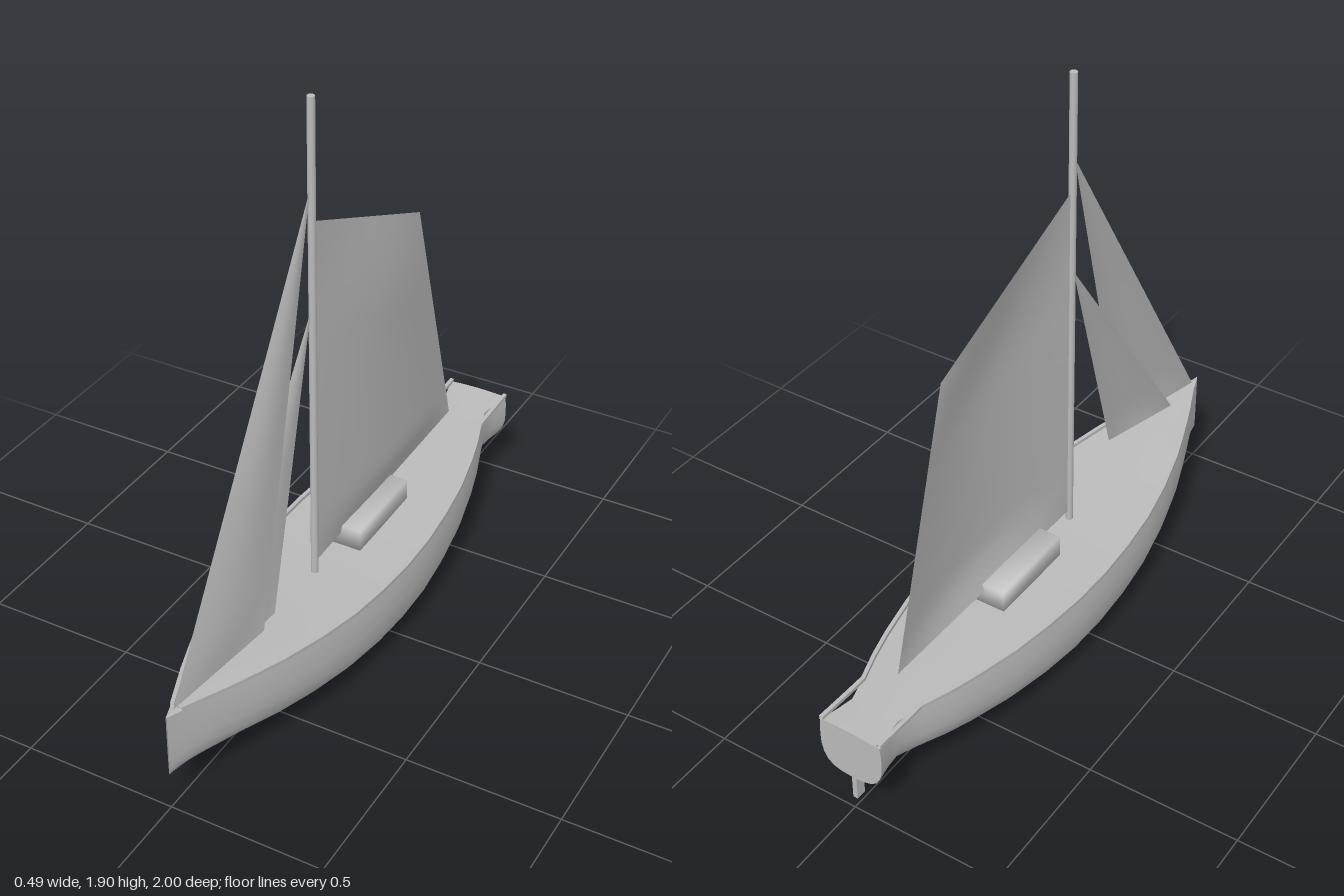
import * as THREE from 'three';
import { mergeVertices } from 'three/addons/utils/BufferGeometryUtils.js';

const grey = new THREE.MeshStandardMaterial({ color: 0xbababa, side: THREE.DoubleSide });
grey.name = 'plain grey';

// Hull stations, bow to stern: z, half width, keel height, sheer height
const STATIONS = [
  [1, 0.002, 0.13, 0.355], [0.95, 0.02, 0.125, 0.351], [0.88, 0.05, 0.118, 0.346],
  [0.8, 0.084, 0.106, 0.34], [0.7, 0.122, 0.088, 0.333], [0.6, 0.157, 0.07, 0.326],
  [0.45, 0.197, 0.046, 0.315], [0.3, 0.225, 0.024, 0.305], [0.15, 0.24, 0.01, 0.298],
  [0, 0.246, 0.004, 0.293], [-0.15, 0.243, 0.004, 0.293], [-0.3, 0.23, 0.016, 0.296],
  [-0.45, 0.209, 0.036, 0.3], [-0.6, 0.175, 0.062, 0.305], [-0.7, 0.147, 0.083, 0.308],
  [-0.8, 0.112, 0.107, 0.311], [-0.88, 0.086, 0.123, 0.314], [-0.94, 0.096, 0.128, 0.317],
  [-1, 0.11, 0.13, 0.32],
];
const RAIL = 0.012;

// Half cross-section from sheer to keel: fraction of half width, fraction of height
const SECTION = [[0.96, 1], [0.99, 0.85], [1, 0.65], [0.985, 0.45], [0.92, 0.28],
  [0.8, 0.15], [0.62, 0.06], [0.36, 0.015], [0, 0]];
const RING = [...SECTION.map(([x, y]) => [-x, y]),
  ...SECTION.slice(0, -1).reverse()];

// Surface through rows of points
function grid(rows, cols, point) {
  const pos = [], index = [];
  for (let i = 0; i < rows; i++) {
    for (let j = 0; j < cols; j++) {
      pos.push(...point(i, j));
      if (i < rows - 1 && j < cols - 1) {
        const a = i * cols + j, c = a + cols;
        index.push(a, c, a + 1, a + 1, c, c + 1);
      }
    }
  }
  const g = new THREE.BufferGeometry();
  g.setAttribute('position', new THREE.Float32BufferAttribute(pos, 3));
  g.setIndex(index);
  g.computeVertexNormals();
  return g;
}

// Four-cornered sail with a belly towards +x; corners are tack, clew, peak, throat
function sailGeometry([tack, clew, peak, throat], belly, foot, head) {
  const [a, b, c, d] = [tack, clew, peak, throat].map((p) => new THREE.Vector3(...p));
  const n = 24;
  return grid(n + 1, n + 1, (i, j) => {
    const v = i / n, u = j / n;
    const p = a.clone().lerp(b, u).lerp(d.clone().lerp(c, u), v);
    const rise = Math.min(1, v / foot, (1 - v) / head);
    p.x += belly * Math.sin(Math.PI * u) * Math.sin(rise * Math.PI / 2);
    return p.toArray();
  });
}

export function createModel() {
  const model = new THREE.Group();
  model.name = 'sailingBoat';
  const add = (name, geometry, x = 0, y = 0, z = 0) => {
    const mesh = new THREE.Mesh(geometry, grey);
    mesh.name = name;
    mesh.position.set(x, y, z);
    model.add(mesh);
    return mesh;
  };

  // Hull shell, transom and deck
  const hullPoint = (i, j) => {
    const [z, w, keel, sheer] = STATIONS[i];
    const [x, y] = RING[j];
    return [x * w, keel + y * (sheer - RAIL - keel), z];
  };
  const last = STATIONS.length - 1;
  add('hull', grid(STATIONS.length, RING.length, hullPoint));
  add('transom', grid(2, RING.length, (i, j) => {
    const [x, y, z] = hullPoint(last, j);
    return [i ? 0 : x, y, z];
  }));
  add('deck', grid(STATIONS.length, 7, (i, j) => {
    const [z, w, , sheer] = STATIONS[i];
    const t = 1 - j / 3;
    return [t * w * 0.96, sheer - RAIL + 0.004 * (1 - t * t), z];
  }));

  // Rails run straight past the pinched stern
  const railStations = STATIONS.slice(1);
  for (const side of [1, -1]) {
    const rail = grid(railStations.length, 5, (i, j) => {
      const [z, w, , sheer] = railStations[i];
      const outer = (z < -0.75 ? 0.112 : w) * 0.98;
      const inner = Math.max(0, outer - 0.013);
      const ring = [[outer, -RAIL], [outer, 0], [inner, 0], [inner, -RAIL], [outer, -RAIL]];
      return [side * ring[j][0], sheer + ring[j][1], z];
    }).toNonIndexed();
    rail.computeVertexNormals();
    add(side > 0 ? 'leftRail' : 'rightRail', rail);
  }

  // Cabin with softly shaded corners
  let cabin = new THREE.BoxGeometry(0.14, 0.08, 0.32);
  cabin.deleteAttribute('normal');
  cabin.deleteAttribute('uv');
  cabin = mergeVertices(cabin);
  cabin.computeVertexNormals();
  add('cabin', cabin, 0, 0.32, -0.16);

  add('rudder', new THREE.BoxGeometry(0.016, 0.11, 0.035), 0, 0.095, -0.978);
  add('mast', new THREE.CylinderGeometry(0.012, 0.012, 1.61, 12), 0, 1.095, 0.165);

  // Sails
  add('mainSail', sailGeometry(
    [[0, 0.325, 0.155], [0, 0.35, -0.765], [0, 1.24, -0.505], [0, 1.515, 0.155]], 0.034, 0.14, 0.33));
  add('outerJib', sailGeometry(
    [[0, 0.345, 0.965], [0.064, 0.375, 0.575], [0, 1.62, 0.175], [0, 1.62, 0.175]], 0.012, 0.12, 0.6));
  add('innerJib', sailGeometry(
    [[0, 0.335, 0.82], [0.05, 0.375, 0.49], [0, 1.235, 0.175], [0, 1.235, 0.175]], 0.01, 0.12, 0.6));

  return model;
}
